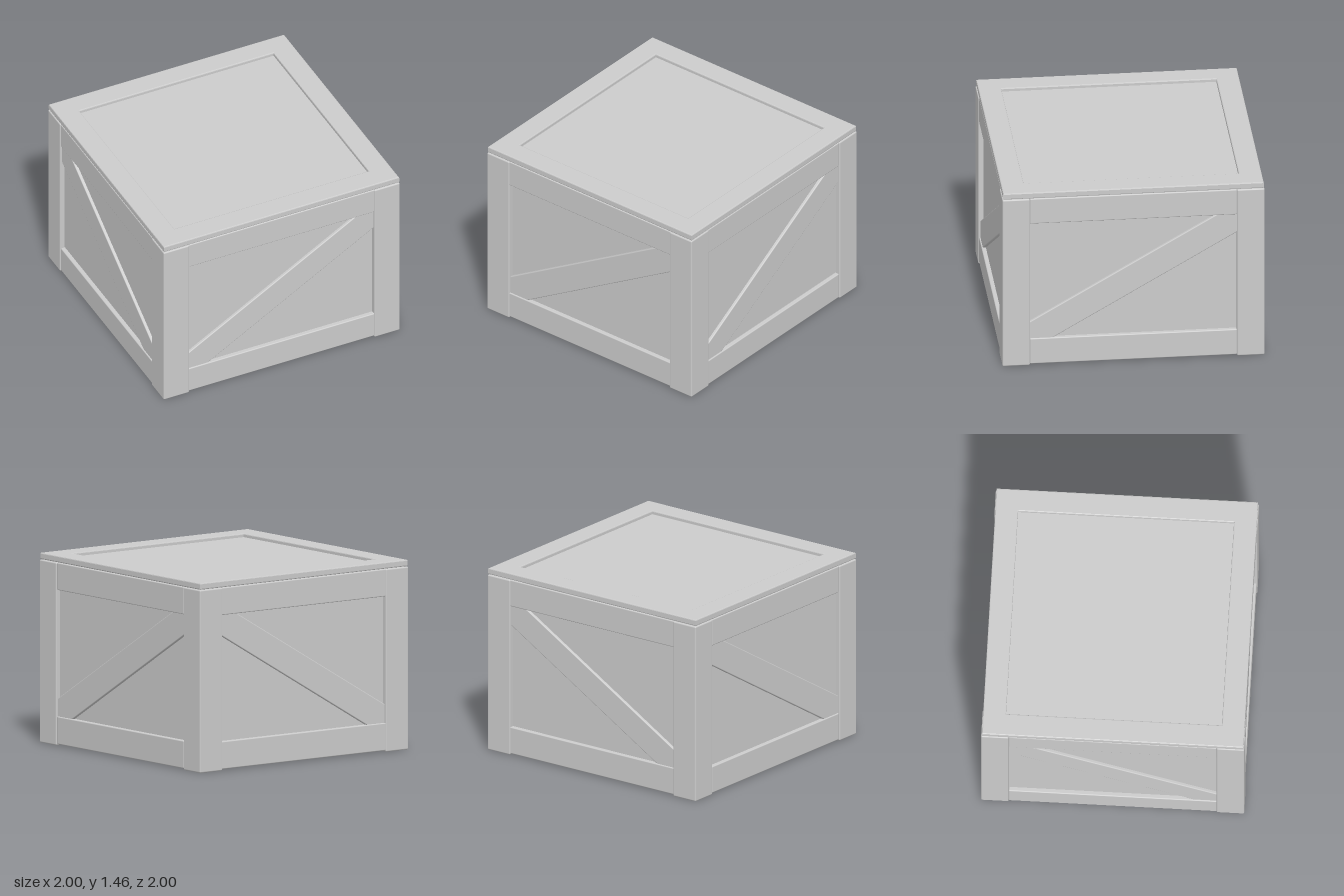
import * as THREE from 'three';
import { RoundedBoxGeometry } from 'three/addons/geometries/RoundedBoxGeometry.js';

const material = new THREE.MeshStandardMaterial({ color: 0xcccccc });

// Board with slightly eased edges, given by its minimum and maximum corners
function board(name, min, max, bevel = 0.008) {
  const size = max.map((v, i) => v - min[i]);
  const geometry = bevel
    ? new RoundedBoxGeometry(size[0], size[1], size[2], 2, bevel)
    : new THREE.BoxGeometry(...size);
  const mesh = new THREE.Mesh(geometry, material);
  mesh.position.set(...max.map((v, i) => (v + min[i]) / 2));
  mesh.name = name;
  return mesh;
}

// One wall frame facing +z: two rails and a diagonal brace
function wall(name, mirrored) {
  const group = new THREE.Group();
  group.name = name;
  group.add(board('bottomRail', [-0.79, 0.01, 0.82], [0.79, 0.222, 0.993]));
  group.add(board('topRail', [-0.79, 1.192, 0.82], [0.79, 1.402, 0.993]));
  const brace = board('brace', [-1, -0.106, 0.9], [1, 0.106, 0.983]);
  brace.position.y = 0.7;
  brace.rotation.z = (mirrored ? -1 : 1) * 0.529;
  group.add(brace);
  return group;
}

function square(half, Type) {
  return new Type([[-1, -1], [1, -1], [1, 1], [-1, 1]]
    .map(([x, y]) => new THREE.Vector2(x * half, y * half)));
}

export function createModel() {
  const crate = new THREE.Group();
  crate.name = 'crate';

  // Recessed panels: walls and floor in one block
  crate.add(board('panels', [-0.96, 0.035, -0.96], [0.96, 1.4, 0.96], 0));

  // Corner posts
  for (const x of [-1, 1]) for (const z of [-1, 1]) {
    const post = board('cornerPost', [-0.108, 0, -0.105], [0.108, 1.402, 0.105], 0.01);
    post.position.x = x * 0.89;
    post.position.z = z * 0.895;
    crate.add(post);
  }

  // Four walls; braces on opposite walls run parallel
  ['frontWall', 'leftWall', 'backWall', 'rightWall'].forEach((name, i) => {
    const side = wall(name, i > 1);
    side.rotation.y = i * Math.PI / 2;
    crate.add(side);
  });

  // Lid frame with a bevelled square opening
  const bevel = 0.008;
  const shape = square(0.994 - bevel, THREE.Shape);
  shape.holes.push(square(0.82 + bevel, THREE.Path));
  const lidGeometry = new THREE.ExtrudeGeometry(shape, {
    depth: 0.05 - 2 * bevel, bevelSize: bevel, bevelThickness: bevel, bevelSegments: 2,
  });
  lidGeometry.rotateX(-Math.PI / 2);
  const lid = new THREE.Mesh(lidGeometry, material);
  lid.name = 'lidFrame';
  lid.position.y = 1.405 + bevel;
  crate.add(lid);

  // Sunken lid panel
  crate.add(board('lidPanel', [-0.86, 1.39, -0.86], [0.86, 1.428, 0.86], 0));

  return crate;
}
